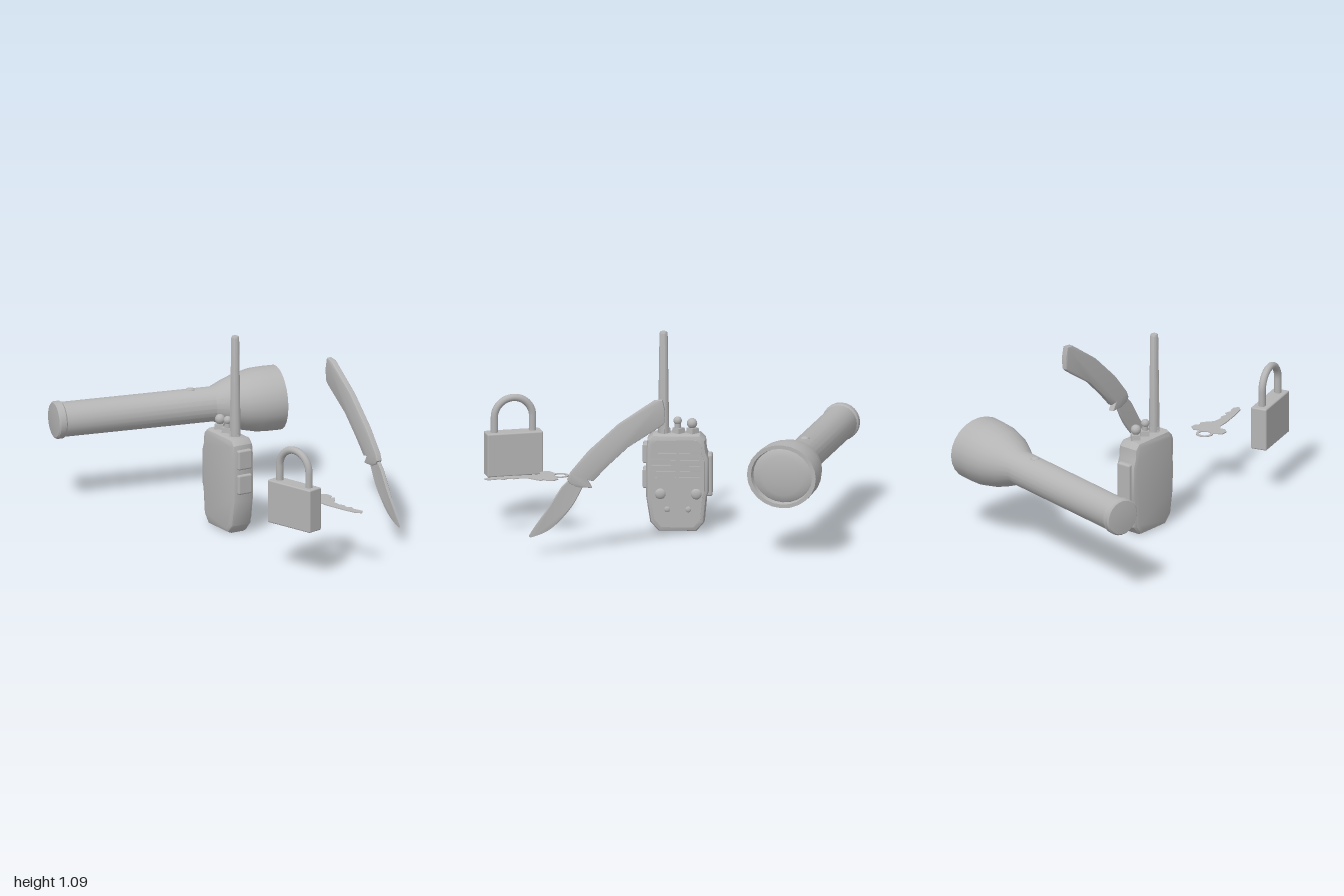
import * as THREE from 'three';
import { toCreasedNormals } from 'three/addons/utils/BufferGeometryUtils.js';
import { RoundedBoxGeometry } from 'three/addons/geometries/RoundedBoxGeometry.js';

const grey = new THREE.MeshStandardMaterial({ color: 0xb4b4b4 });
grey.name = 'plain grey';

function add(parent, name, geometry, x = 0, y = 0, z = 0) {
  const mesh = new THREE.Mesh(geometry, grey);
  mesh.name = name;
  mesh.position.set(x, y, z);
  parent.add(mesh);
  return mesh;
}

function group(parent, name) {
  const g = new THREE.Group();
  g.name = name;
  parent.add(g);
  return g;
}

const shapeOf = (pts) => new THREE.Shape(pts.map(([a, b]) => new THREE.Vector2(a, b)));
const smoothShape = (pts) => new THREE.Shape(
  new THREE.CatmullRomCurve3(pts.map(([a, b]) => new THREE.Vector3(a, b, 0)), true, 'centripetal')
    .getPoints(pts.length * 3).slice(0, -1).map((p) => new THREE.Vector2(p.x, p.y)));

// Extrudes a (-z, y) side outline across x, from x0 to x1
function slab(shape, x0, x1, bevel = 0, segments = 1) {
  const geo = new THREE.ExtrudeGeometry(shape, {
    depth: x1 - x0 - 2 * bevel, curveSegments: 16, bevelEnabled: bevel > 0,
    bevelThickness: bevel, bevelSize: bevel, bevelOffset: -bevel, bevelSegments: segments,
  });
  geo.translate(0, 0, x0 + bevel).rotateY(Math.PI / 2);
  return toCreasedNormals(geo, 0.6);
}

function lathe(pts, sides) {
  const geo = new THREE.LatheGeometry(pts.map(([r, y]) => new THREE.Vector2(r, y)), sides);
  return geo;
}

function addFlashlight(parent) {
  const g = group(parent, 'flashlight');
  // Wide parts are slightly flattened in height
  const turned = (pts) => {
    const geo = lathe(pts, 24).rotateZ(-Math.PI / 2);
    const p = geo.attributes.position;
    for (let i = 0; i < p.count; i++) {
      const r = Math.hypot(p.getY(i), p.getZ(i));
      const squash = 1 - 0.09 * THREE.MathUtils.clamp((r - 0.1) / 0.06, 0, 1);
      p.setY(i, p.getY(i) * squash);
    }
    geo.computeVertexNormals();
    return toCreasedNormals(geo, 0.5);
  };
  add(g, 'tailCap', turned([[0, -0.006], [0.06, -0.004], [0.094, 0], [0.102, 0.008],
    [0.102, 0.038], [0.094, 0.046]]));
  add(g, 'barrelAndHead', turned([[0.094, 0.04], [0.094, 0.89], [0.13, 0.96], [0.167, 1.04],
    [0.187, 1.125], [0.19, 1.19], [0.19, 1.258], [0.168, 1.258], [0.162, 1.225]]));
  add(g, 'lens', turned([[0.165, 1.225], [0.155, 1.232], [0.11, 1.243], [0.055, 1.25], [0, 1.252]]));
  const button = add(g, 'switchButton', new THREE.SphereGeometry(0.025, 16, 10), 0.77, 0.09, 0);
  button.scale.y = 0.5;
  g.position.set(-0.624, 0.4625, -0.9);
  g.rotation.y = -0.221;
}

function addRadio(parent) {
  const g = group(parent, 'radio');
  const outline = [[-0.055, 0], [0.147, 0], [0.19, 0.05], [0.203, 0.19], [0.215, 0.22],
    [0.215, 0.4], [0.2, 0.44], [0.195, 0.5], [0.165, 0.53], [-0.085, 0.53], [-0.115, 0.5],
    [-0.122, 0.44], [-0.122, 0.19], [-0.1, 0.05]];
  add(g, 'body', slab(shapeOf(outline), -0.13, -0.002, 0.025, 2));

  // Face plate with speaker slots cut through it
  const plate = shapeOf(outline.map(([u, v]) => [0.045 + (u - 0.045) * 0.85, 0.265 + (v - 0.265) * 0.9]));
  const slot = (u, v, w) => {
    const h = 0.005;
    plate.holes.push(new THREE.Path([[u - w, v - h], [u - w, v + h], [u + w, v + h], [u + w, v - h]]
      .map(([a, b]) => new THREE.Vector2(a, b))));
  };
  for (const side of [-1, 1]) {
    slot(0.048 + side * 0.056, 0.435, 0.05);
    for (const v of [0.4, 0.368, 0.336]) slot(0.048 + side * 0.076, v, 0.064);
    slot(0.048 + side * 0.064, 0.304, 0.056);
  }
  add(g, 'facePlate', slab(plate, -0.004, 0.005));

  // Round controls on the face
  for (const [z, y, r] of [[0.045, 0.21, 0.03], [-0.147, 0.21, 0.03], [0.008, 0.125, 0.017], [-0.104, 0.125, 0.017]]) {
    const knob = add(g, 'faceButton', new THREE.SphereGeometry(r, 16, 10), 0.002, y, z);
    knob.scale.x = 0.5;
  }
  // Keys on both edges
  for (const y of [0.422, 0.285])
    add(g, 'sideKey', new RoundedBoxGeometry(0.086, 0.108, 0.04, 2, 0.01), -0.067, y, 0.12);
  add(g, 'sideGrip', new RoundedBoxGeometry(0.086, 0.23, 0.04, 2, 0.012), -0.067, 0.305, -0.212);

  // Square collars with the aerial and two knobs
  for (const z of [0.027, -0.05, -0.125])
    add(g, 'collar', new THREE.CylinderGeometry(0.032, 0.037, 0.035, 4).toNonIndexed(), -0.065, 0.54, z)
      .geometry.computeVertexNormals();
  add(g, 'antenna', toCreasedNormals(lathe([[0.03, 0.53], [0.022, 1.077], [0.018, 1.085], [0, 1.085]], 10), 0.7),
    -0.065, 0, 0.03);
  for (const [z, y, r] of [[-0.045, 0.596, 0.023], [-0.122, 0.582, 0.028]]) {
    add(g, 'knobStem', new THREE.CylinderGeometry(0.017, 0.017, y - 0.53, 12), -0.065, (y + 0.53) / 2, z);
    add(g, 'knob', new THREE.SphereGeometry(r, 12, 8), -0.065, y, z);
  }
}

function addPadlock(parent) {
  const g = group(parent, 'padlock');
  add(g, 'lockBody', new RoundedBoxGeometry(0.092, 0.237, 0.306, 2, 0.008), 0, 0.378, 0);
  // Shackle: two legs joined by a half circle
  const path = new THREE.CurvePath();
  const v = (y, z) => new THREE.Vector3(0, y, z);
  const r = 0.105, top = 0.576, k = r * 0.5523;
  path.add(new THREE.LineCurve3(v(0.47, -r), v(top, -r)));
  path.add(new THREE.CubicBezierCurve3(v(top, -r), v(top + k, -r), v(top + r, -k), v(top + r, 0)));
  path.add(new THREE.CubicBezierCurve3(v(top + r, 0), v(top + r, k), v(top + k, r), v(top, r)));
  path.add(new THREE.LineCurve3(v(top, r), v(0.47, r)));
  add(g, 'shackle', new THREE.TubeGeometry(path, 40, 0.02, 12));
  g.position.set(-0.196, 0, 0.836);
  g.rotation.y = 0.28;
}

function addKey(parent) {
  const g = group(parent, 'key');
  const flat = (shape) => new THREE.ExtrudeGeometry(shape, { depth: 0.005, bevelEnabled: false, curveSegments: 16 })
    .rotateX(-Math.PI / 2);
  // Rounded bow and notched blade, as (x, z)
  const outline = [[0, 0.608], [-0.035, 0.635], [-0.034, 0.67], [-0.005, 0.69], [0.022, 0.685],
    [0.045, 0.712], [0.053, 0.767], [0.085, 0.884], [0.111, 0.958], [0.138, 0.98], [0.157, 0.958],
    [0.148, 0.926], [0.136, 0.905], [0.143, 0.873], [0.122, 0.852], [0.127, 0.82], [0.112, 0.79],
    [0.112, 0.742], [0.138, 0.71], [0.159, 0.677], [0.14, 0.661], [0.159, 0.64], [0.158, 0.608],
    [0.127, 0.584], [0.085, 0.598], [0.066, 0.61], [0.042, 0.617], [0.02, 0.61]];
  add(g, 'bowAndBlade', flat(shapeOf(outline.map(([x, z]) => [x, -z]))));
  const ring = new THREE.Shape().absarc(0.042, -0.577, 0.046, 0, Math.PI * 2);
  ring.holes.push(new THREE.Path().absarc(0.042, -0.577, 0.031, 0, Math.PI * 2, true));
  add(g, 'ring', flat(ring));
  g.position.y = 0.313;
}

function addKnife(parent) {
  const g = group(parent, 'knife');
  // Curved handle ending in a small guard
  const handle = [[-0.056, 0.858], [-0.012, 0.863], [0.002, 0.8], [-0.003, 0.735], [-0.02, 0.718],
    [-0.195, 0.602], [-0.302, 0.5], [-0.382, 0.414], [-0.412, 0.42], [-0.388, 0.377], [-0.46, 0.378],
    [-0.505, 0.398], [-0.521, 0.42], [-0.505, 0.457], [-0.409, 0.575], [-0.249, 0.725]];
  add(g, 'handle', slab(shapeOf(handle), -0.017, 0.017, 0.007, 2));
  // Blade thins toward the tip
  const blade = [[-0.51, 0.42], [-0.623, 0.26], [-0.698, 0.152], [-0.725, 0.1], [-0.666, 0.115],
    [-0.602, 0.152], [-0.516, 0.243], [-0.457, 0.34], [-0.43, 0.42]];
  const geo = slab(smoothShape(blade), -0.01, 0.01, 0.004);
  const p = geo.attributes.position;
  for (let i = 0; i < p.count; i++)
    p.setX(i, p.getX(i) * THREE.MathUtils.clamp((p.getY(i) - 0.09) / 0.2, 0.1, 1));
  add(g, 'blade', toCreasedNormals(geo, 0.6));
  g.position.x = 0.536;
}

export function createModel() {
  const model = new THREE.Group();
  model.name = 'outdoorTools';
  addFlashlight(model);
  addRadio(model);
  addPadlock(model);
  addKey(model);
  addKnife(model);
  return model;
}
